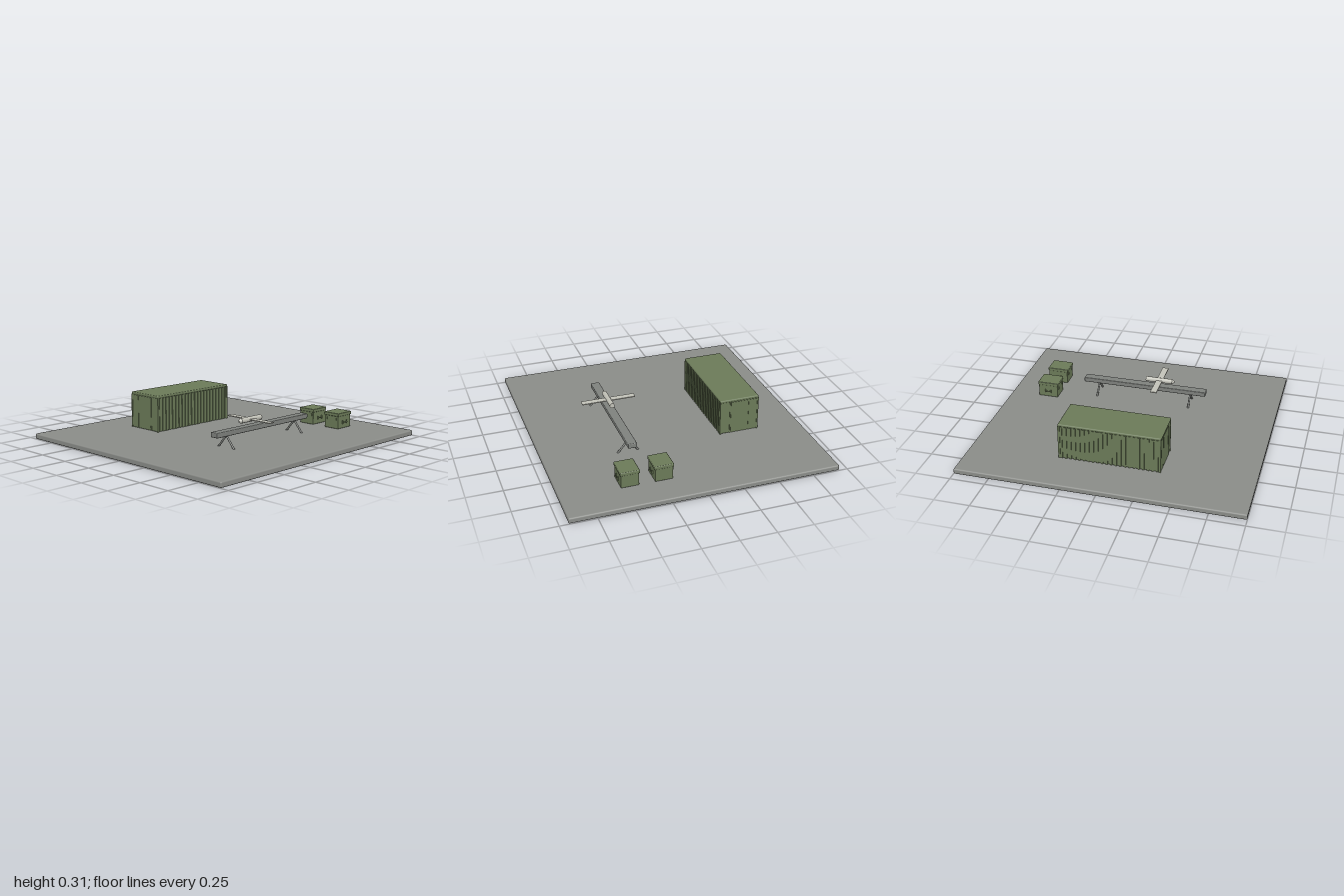
import * as THREE from 'three';
import { RoundedBoxGeometry } from 'three/addons/geometries/RoundedBoxGeometry.js';

const mat = (name, color) => new THREE.MeshStandardMaterial({ name, color });

export function createModel() {
  const concrete = mat('concrete', 0x8a8c88);
  const olive = mat('olive', 0x6b7a58);
  const steel = mat('steel', 0x7e817d);
  const pale = mat('paleGrey', 0xc2c2b8);
  const model = new THREE.Group();
  const GROUND = 0.04;

  const add = (parent, name, geo, material, x = 0, y = 0, z = 0) => {
    const m = new THREE.Mesh(geo, material);
    m.name = name;
    m.position.set(x, y, z);
    parent.add(m);
    return m;
  };
  const box = (w, h, d) => new THREE.BoxGeometry(w, h, d);
  const soft = (w, h, d, r) => new RoundedBoxGeometry(w, h, d, 2, r);
  const group = (name, x, y, z) => {
    const g = new THREE.Group();
    g.name = name;
    g.position.set(x, y, z);
    model.add(g);
    return g;
  };
  // Round bar between two points
  const bar = (parent, name, a, b, r, material) => {
    const dir = b.clone().sub(a);
    const m = add(parent, name, new THREE.CylinderGeometry(r, r, dir.length(), 10), material);
    m.position.copy(a).add(b).multiplyScalar(0.5);
    m.quaternion.setFromUnitVectors(new THREE.Vector3(0, 1, 0), dir.normalize());
  };

  // Ground slab
  add(model, 'groundSlab', soft(1.88, GROUND, 2, 0.01), concrete, 0, GROUND / 2, 0);

  // Shipping container with ribbed sides and paired doors
  const container = group('container', -0.475, GROUND, 0);
  add(container, 'containerBody', soft(0.28, 0.265, 0.715, 0.008), olive, 0, 0.1325, 0);
  add(container, 'containerRoof', soft(0.29, 0.02, 0.72, 0.008), olive, 0, 0.256, 0);
  for (const s of [-1, 1]) {
    for (let i = 0; i < 22; i++) {
      add(container, 'sideRib', box(0.008, 0.245, 0.014), olive, s * 0.142, 0.125, -0.336 + i * 0.032);
    }
    for (const x of [-0.14, 0.14]) {
      add(container, 'cornerPost', box(0.01, 0.25, 0.014), olive, x, 0.125, s * 0.353);
    }
    add(container, 'leftDoor', box(0.128, 0.24, 0.006), olive, 0.001, 0.124, s * 0.357);
    add(container, 'sideDoor', box(0.062, 0.24, 0.006), olive, -0.1, 0.124, s * 0.357);
    add(container, 'lockBar', box(0.007, 0.24, 0.008), olive, 0.07, 0.124, s * 0.357);
  }

  // Storage crates with lids, latches and carry handles
  for (const x of [0.235, 0.47]) {
    const crate = group('crate', x, GROUND, -0.71);
    add(crate, 'crateBody', soft(0.126, 0.095, 0.148, 0.005), olive, 0, 0.0475, 0);
    add(crate, 'crateLid', soft(0.136, 0.025, 0.156, 0.006), olive, 0, 0.1045, 0);
    for (const s of [-1, 1]) {
      add(crate, 'latch', box(0.014, 0.018, 0.008), olive, s * 0.042, 0.072, 0.076);
      for (const z of [-0.022, 0.022]) {
        add(crate, 'handleMount', box(0.01, 0.025, 0.006), olive, s * 0.066, 0.045, z);
      }
      add(crate, 'handleGrip', box(0.005, 0.007, 0.05), olive, s * 0.0705, 0.045, 0);
    }
  }

  // Launch rail on two splayed bipods
  const launcher = group('launcher', 0.35, 0, 0);
  add(launcher, 'rail', soft(0.064, 0.036, 0.936, 0.006), steel, 0, 0.143, 0);
  for (const z of [-0.355, 0.35]) {
    for (const s of [-1, 1]) {
      bar(launcher, 'railLeg', new THREE.Vector3(0, 0.125, z),
        new THREE.Vector3(s * 0.098, 0.008, z), 0.007, steel);
    }
  }

  // Small aircraft above the rail
  const aircraft = group('aircraft', 0.35, 0.202, 0);
  const fuselage = add(aircraft, 'fuselage', new THREE.CylinderGeometry(0.019, 0.019, 0.2, 8), pale, 0, 0, 0.11);
  fuselage.rotation.x = Math.PI / 2;
  const nose = add(aircraft, 'nose', new THREE.CylinderGeometry(0.006, 0.019, 0.018, 8), pale, 0, 0, 0.219);
  nose.rotation.x = Math.PI / 2;
  add(aircraft, 'wing', box(0.394, 0.007, 0.046), pale, 0, 0, 0.113);

  return model;
}
